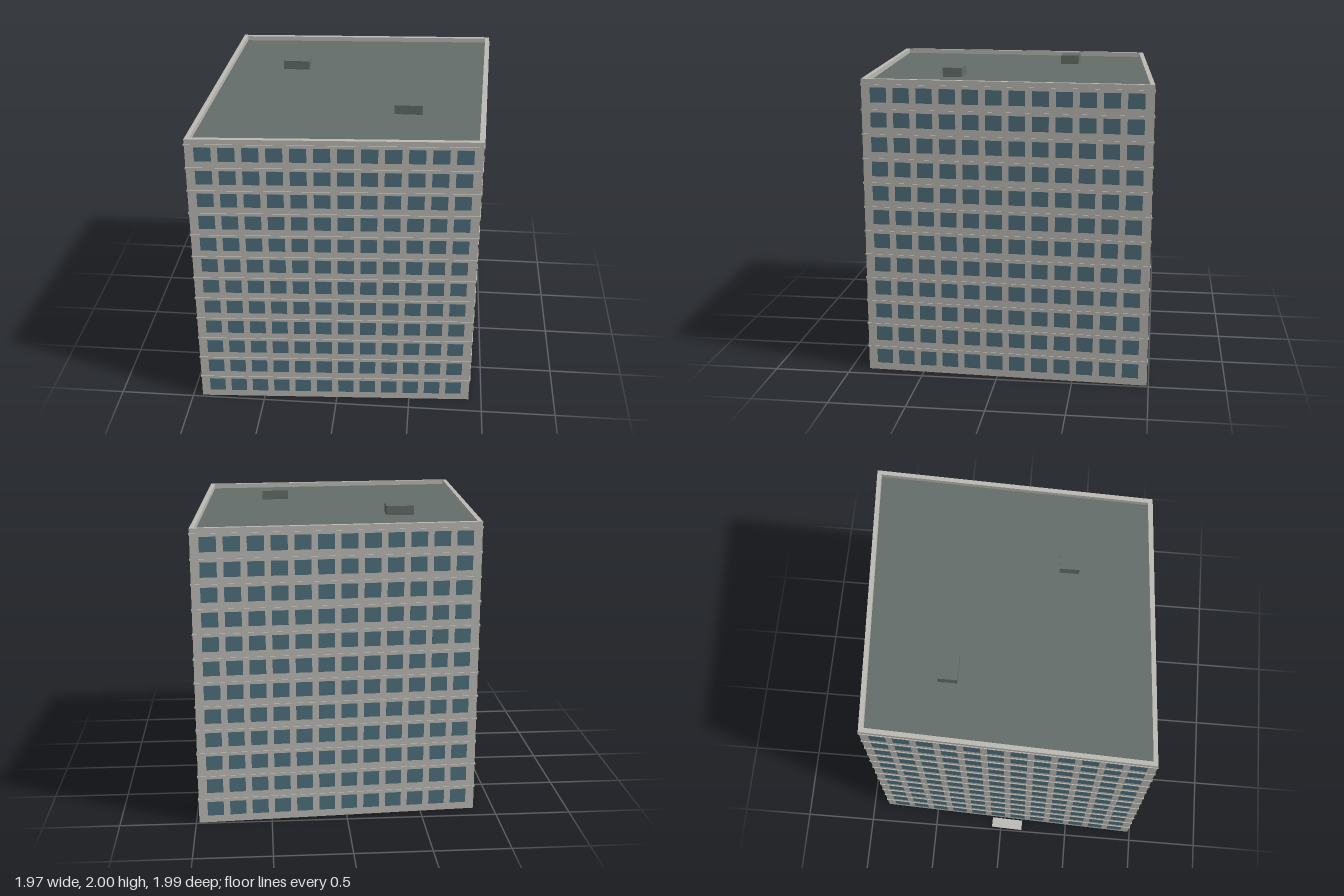
import * as THREE from 'three';
import { mergeGeometries } from 'three/addons/utils/BufferGeometryUtils.js';

const FLOORS = 12, COLUMNS = 12, FLOOR_H = 0.161, ROOF_Y = 1.935, TOP_Y = 1.97;
// Slightly skewed footprint, counter-clockwise from above: [x, z]
const CORNERS = [[-0.934, 0.985], [0.912, 0.876], [0.98, -0.99], [-0.866, -0.886]];

// Footprint grown (d > 0) or shrunk (d < 0), as points of an x / -z shape
const outline = d => CORNERS.map(([x, z]) =>
  new THREE.Vector2(x + Math.sign(x) * d, -(z + Math.sign(z) * d)));

function prism(points, y0, y1, hole) {
  const shape = new THREE.Shape(points);
  if (hole) shape.holes.push(new THREE.Path(hole));
  return new THREE.ExtrudeGeometry(shape, { depth: y1 - y0, bevelEnabled: false })
    .rotateX(-Math.PI / 2).translate(0, y0, 0);
}

export function createModel() {
  const model = new THREE.Group();
  model.name = 'apartmentBlock';
  const material = (name, color) => {
    const m = new THREE.MeshStandardMaterial({ color });
    m.name = name;
    return m;
  };
  const concrete = material('concrete', 0xbcbab4);
  const glass = material('windowGlass', 0x4f707e);
  const roofing = material('roofing', 0x646e69);
  const add = (name, geometry, mat) => {
    const mesh = new THREE.Mesh(geometry, mat);
    mesh.name = name;
    model.add(mesh);
    return mesh;
  };

  // Body, parapet and roof surface
  add('walls', prism(outline(0), 0, ROOF_Y), concrete);
  add('parapet', prism(outline(0), ROOF_Y, TOP_Y, outline(-0.03)), concrete);
  add('roofSurface', prism(outline(-0.03), ROOF_Y - 0.002, ROOF_Y + 0.003), roofing);

  // Thin ledge ring at each floor line
  const ledges = [];
  for (let k = 1; k <= FLOORS; k++) {
    const y = k * FLOOR_H;
    ledges.push(prism(outline(0.005), y - 0.005, y + 0.005, outline(-0.01)));
  }
  add('floorLedges', mergeGeometries(ledges), concrete);

  // Window grid on each of the four walls
  CORNERS.forEach(([x0, z0], i) => {
    const [x1, z1] = CORNERS[(i + 1) % 4];
    const dx = x1 - x0, dz = z1 - z0, length = Math.hypot(dx, dz);
    const margin = 0.036, pitch = (length - 2 * margin) / COLUMNS;
    const panes = [];
    for (let f = 0; f < FLOORS; f++) {
      for (let c = 0; c < COLUMNS; c++) {
        panes.push(new THREE.BoxGeometry(0.106, 0.096, 0.004).translate(
          margin + (c + 0.5) * pitch, 0.0965 + f * FLOOR_H, 0));
      }
    }
    const wall = add('windows' + ['Front', 'Left', 'Back', 'Right'][i], mergeGeometries(panes), glass);
    wall.position.set(x0, 0, z0);
    wall.rotation.y = Math.atan2(-dz, dx);
  });

  // Roof hatches
  for (const [x, z] of [[-0.395, -0.365], [0.428, 0.355]]) {
    add('roofHatch', new THREE.BoxGeometry(0.183, 2 - ROOF_Y, 0.128)
      .translate(x, (2 + ROOF_Y) / 2, z), roofing);
  }

  // Sloping entrance slab beside the right wall
  const slope = new THREE.Shape([[-0.036, 0], [0.034, 0.017], [0.034, 0.025], [-0.036, 0.008]]
    .map(p => new THREE.Vector2(...p)));
  const ramp = add('entranceSlab', new THREE.ExtrudeGeometry(slope, { depth: 0.23, bevelEnabled: false })
    .translate(0, 0, -0.115), concrete);
  ramp.position.set(-0.949, 0, 0.047);
  ramp.rotation.y = -0.037;

  return model;
}
